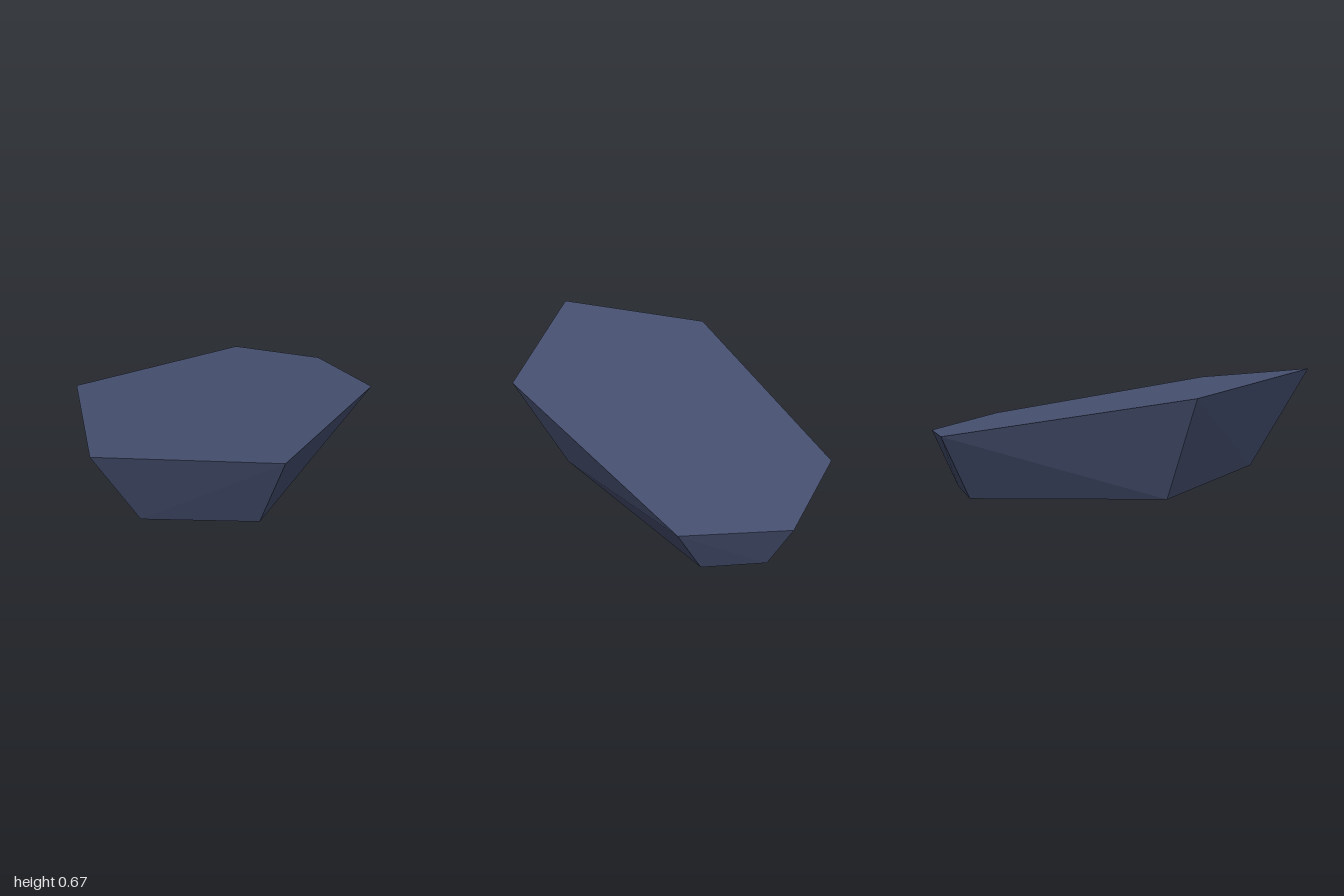
import * as THREE from 'three';
import { ConvexGeometry } from 'three/addons/geometries/ConvexGeometry.js';

// Six-sided ring of points: a centre tip at each end and two mirrored pairs between them
function ring(front, frontSide, backSide, back) {
  const points = [front, back].map((p) => new THREE.Vector3(...p));
  for (const [x, y, z] of [frontSide, backSide]) {
    for (const side of [-1, 1]) points.push(new THREE.Vector3(side * x, y, z));
  }
  return points;
}

export function createModel() {
  const model = new THREE.Group();
  model.name = 'facetedRock';

  const slate = new THREE.MeshStandardMaterial({ color: 0x465070, flatShading: true });
  slate.name = 'slateBlue';

  // Sloping top face
  const top = ring([0, 0.665, 1], [0.62, 0.57, 0.46], [0.467, 0.351, -0.77], [0, 0.31, -1]);
  // Smaller underside, rising toward the front tip
  const base = ring([0, 0.16, 0.725], [0.412, 0.064, 0.32], [0.275, 0, -0.7], [0, 0, -0.86]);

  // Closed faceted hull spanning both rings
  const body = new THREE.Mesh(new ConvexGeometry([...top, ...base]), slate);
  body.name = 'rockBody';
  model.add(body);

  return model;
}
